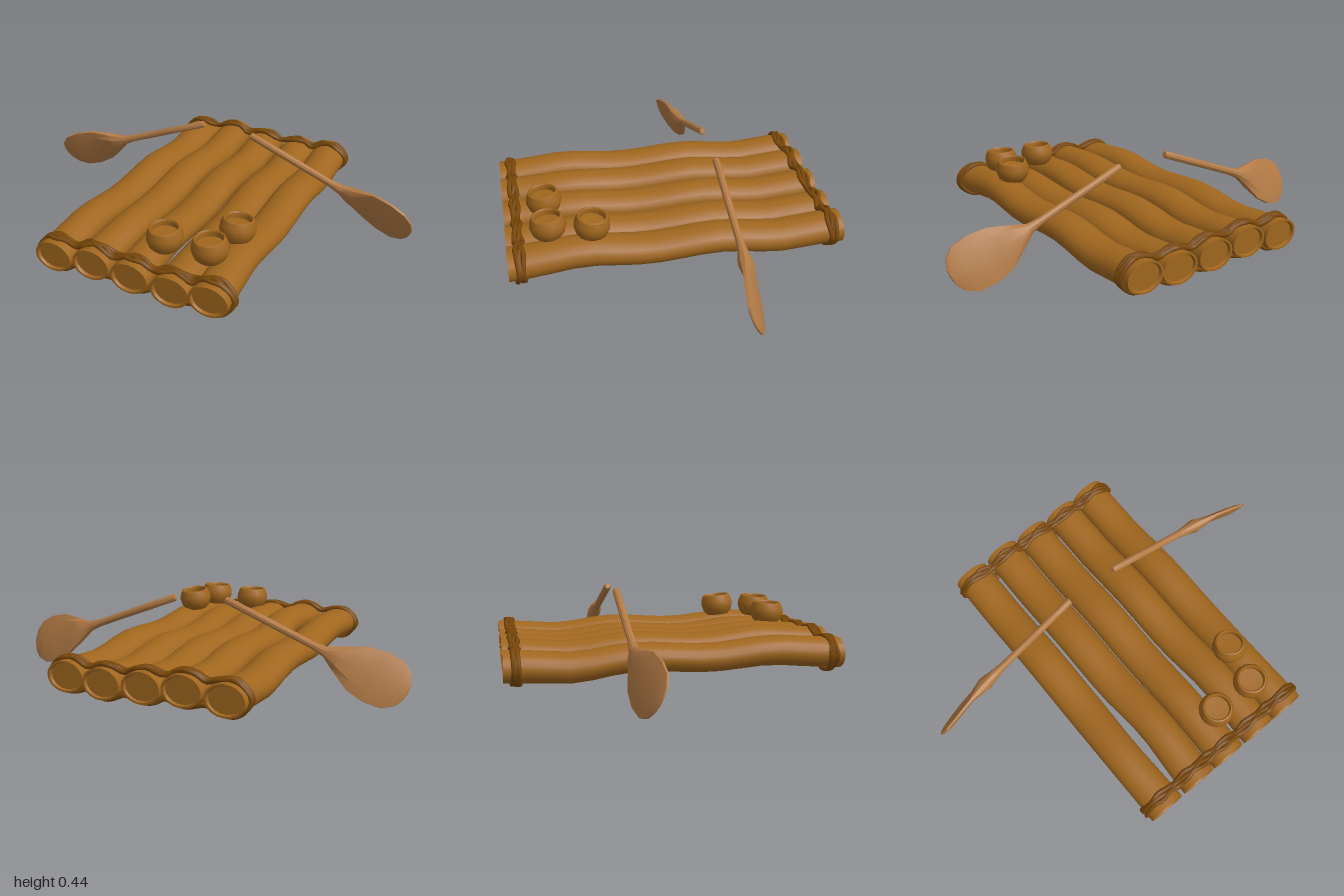
import * as THREE from 'three';
import { toCreasedNormals } from 'three/addons/utils/BufferGeometryUtils.js';

const mat = (name, color) => {
  const m = new THREE.MeshStandardMaterial({ color });
  m.name = name;
  return m;
};

// x and y of each log's axis at its ends, and its sideways bend near the front
const LOGS = [
  { x: -0.385, y: 0.155, bend: -0.007 },
  { x: -0.185, y: 0.168, bend: 0.014 },
  { x: 0.01, y: 0.155, bend: 0.002 },
  { x: 0.21, y: 0.145, bend: 0.012 },
  { x: 0.395, y: 0.155, bend: -0.007 },
];

// rise and fall of a log along its length
const wave = new THREE.CatmullRomCurve3([
  [-0.79, 0], [-0.65, -0.006], [-0.48, -0.018], [-0.2, 0.018], [0.15, 0], [0.45, 0.024], [0.65, 0.008], [0.79, 0],
].map(([z, y]) => new THREE.Vector3(0, y, z))).getPoints(60);
function rise(z) {
  const i = Math.max(1, wave.findIndex(p => p.z >= z - 1e-6));
  const a = wave[i - 1], b = wave[i];
  return THREE.MathUtils.lerp(a.y, b.y, THREE.MathUtils.clamp((z - a.z) / (b.z - a.z), 0, 1));
}

// move every vertex of a geometry by a rule
function reshape(geo, rule) {
  const p = geo.attributes.position, v = new THREE.Vector3();
  for (let i = 0; i < p.count; i++) {
    rule(v.fromBufferAttribute(p, i));
    p.setXYZ(i, v.x, v.y, v.z);
  }
  return geo;
}

const lathe = (pts, sides) => new THREE.LatheGeometry(pts.map(([r, y]) => new THREE.Vector2(r, y)), sides);

function part(name, geo, material, crease = 0.6) {
  const mesh = new THREE.Mesh(toCreasedNormals(geo, crease), material);
  mesh.name = name;
  return mesh;
}

// wavy log with a shallow recess in both ends
function logGeometry({ x, y, bend }) {
  const pts = [[0, -0.78], [0.078, -0.78], [0.083, -0.793]];
  for (let i = 0; i <= 16; i++) pts.push([0.094, -0.793 + 1.586 * i / 16]);
  pts.push([0.083, 0.793], [0.078, 0.78], [0, 0.78]);
  const geo = lathe(pts, 20).rotateX(Math.PI / 2);
  return reshape(geo, v => {
    const mid = Math.exp(-(((v.z - 0.45) / 0.2) ** 2));
    const thin = 1 - 0.1 * Math.cos(v.z * Math.PI / 1.6) ** 2;
    v.x = x + v.x * (1 - 0.04 * mid) + bend * mid;
    v.y = y + v.y * 0.78 * thin + rise(v.z);
  });
}

// one rope strand hugging the outline of all the logs
function ropeGeometry(z0, k) {
  const pts = [];
  const jitter = i => 0.006 * Math.sin(i * 2.3 + k * 1.9 + z0);
  const add = (x, y) => pts.push(new THREE.Vector3(x, y + jitter(pts.length) * 0.5, z0 + jitter(pts.length + 4)));
  const run = side => {
    const order = side > 0 ? LOGS : [...LOGS].reverse();
    order.forEach((l, i) => {
      add(l.x - side * 0.045, l.y + side * 0.071);
      add(l.x, l.y + side * 0.079);
      add(l.x + side * 0.045, l.y + side * 0.071);
      const n = order[i + 1];
      if (n) add((l.x + n.x) / 2, (l.y + n.y) / 2 + side * 0.052);
    });
  };
  run(1);
  add(0.498, 0.155);
  run(-1);
  add(-0.484, 0.155);
  return new THREE.TubeGeometry(new THREE.CatmullRomCurve3(pts, true), 120, 0.0115, 6, true);
}

// paddle running along +x from the grip, flattened into a blade
function paddleGeometry(side) {
  const pts = [[0, 0], [0.014, 0], [0.018, 0.008], [0.018, 0.25], [0.018, 0.47], [0.026, 0.53], [0.066, 0.6],
    [0.114, 0.69], [0.13, 0.78], [0.12, 0.86], [0.082, 0.908], [0.04, 0.928], [0, 0.932]];
  const geo = reshape(lathe(pts, 10), v => {
    const blade = THREE.MathUtils.smoothstep(v.y, 0.5, 0.69);
    v.z *= THREE.MathUtils.lerp(1, 0.15, blade);
  });
  geo.rotateZ(-Math.PI / 2).rotateX(side * 0.45);
  reshape(geo, v => { v.z += 0.025 * THREE.MathUtils.smoothstep(v.x, 0.65, 0.93); });
  return geo.rotateZ(side > 0 ? -0.375 : Math.PI + 0.375);
}

export function createModel() {
  const wood = mat('log wood', 0xa0661e);
  const rope = mat('dark rope', 0x7a4808);
  const paleWood = mat('paddle wood', 0xb27a45);
  const model = new THREE.Group();
  model.name = 'raft';

  // deck of five logs
  const deck = new THREE.Group();
  deck.name = 'logs';
  LOGS.forEach((l, i) => deck.add(part(`log${i + 1}`, logGeometry(l), wood)));
  model.add(deck);

  // lashings at both ends
  [['frontLashing', 0.737], ['backLashing', -0.737]].forEach(([name, z]) => {
    const g = new THREE.Group();
    g.name = name;
    for (let k = -1; k <= 1; k++) g.add(part('ropeStrand', ropeGeometry(z + k * 0.014, k), rope, 1.2));
    model.add(g);
  });

  // paddles, handles pointing up and inwards
  [['leftPaddle', 1, 0.13, 0.435], ['rightPaddle', -1, -0.135, 0.447]].forEach(([name, side, x, y]) => {
    const p = part(name, paddleGeometry(side), paleWood, 0.5);
    p.position.set(x, y, -0.243);
    model.add(p);
  });

  // round pots with a recessed top
  const potProfile = [[0, 0], [0.058, 0], [0.074, 0.018], [0.085, 0.05], [0.083, 0.075], [0.071, 0.104],
    [0.064, 0.107], [0.059, 0.1], [0.06, 0.075], [0, 0.072]];
  [[0.088, 0.227, 0.592, 0.06, 0], [0.312, 0.232, 0.592, 0.06, 0.03], [0.348, 0.236, 0.402, -0.1, -0.05]]
    .forEach(([x, y, z, rx, rz], i) => {
      const pot = part(`pot${i + 1}`, lathe(potProfile, 18), wood, 0.7);
      pot.position.set(x, y, z);
      pot.rotation.set(rx, 0, rz);
      model.add(pot);
    });

  return model;
}
